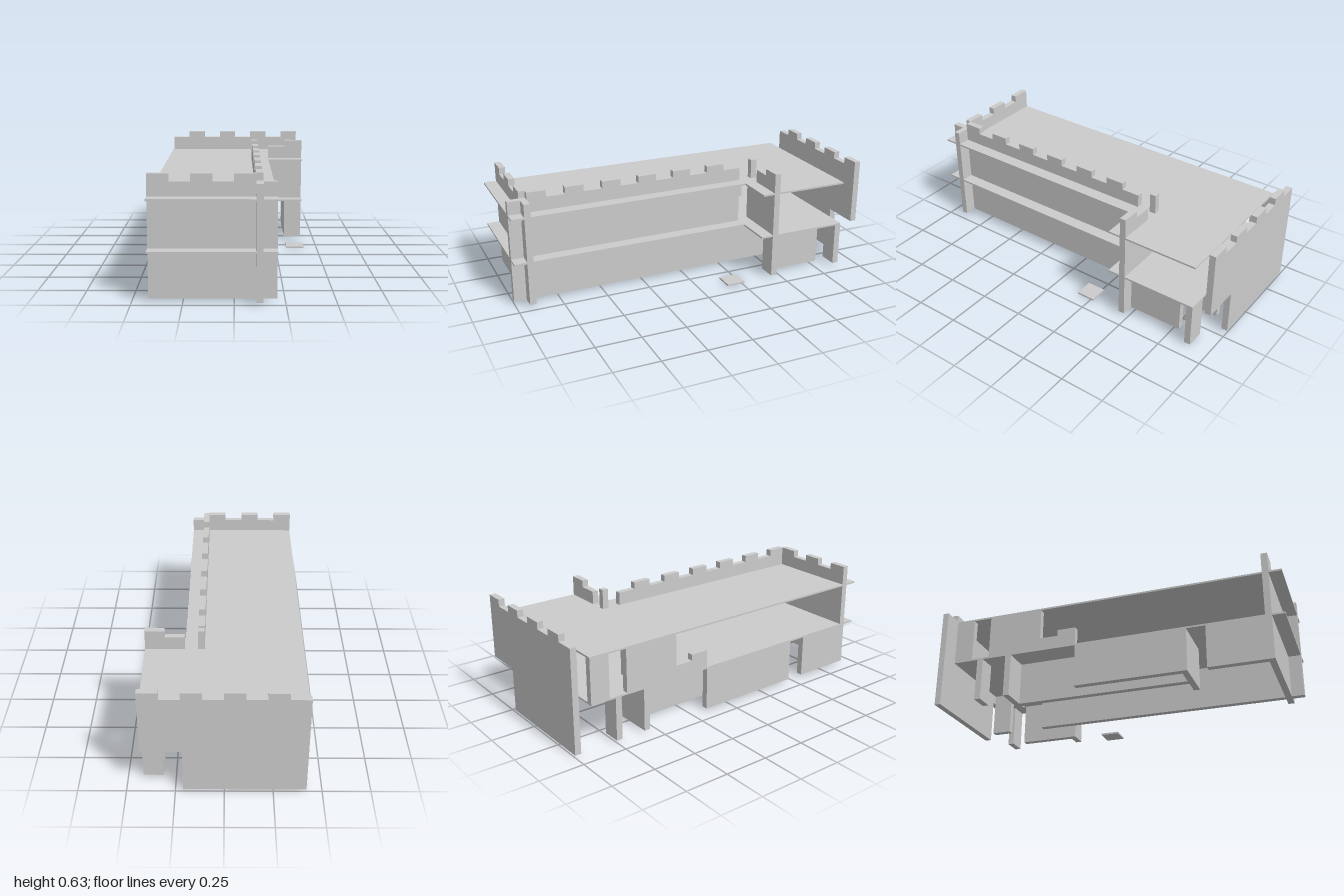
import * as THREE from 'three';

const T = 0.035;                       // panel thickness
const S = 0.105;                       // battlement module
const BASE = 0.013, SHELF = 0.26, LOW = 0.592, HIGH = 0.63;

export function createModel() {
  const model = new THREE.Group();
  const mat = new THREE.MeshStandardMaterial({ color: 0xcccccc, flatShading: true });

  function add(name, geo) {
    const mesh = new THREE.Mesh(geo, mat);
    mesh.name = name;
    model.add(mesh);
    return mesh;
  }
  // Box from its lower and upper corners
  function box(name, x0, x1, y0, y1, z0, z1) {
    const geo = new THREE.BoxGeometry(x1 - x0, y1 - y0, z1 - z0);
    geo.translate((x0 + x1) / 2, (y0 + y1) / 2, (z0 + z1) / 2);
    return add(name, geo);
  }
  // Stepped panel outline from columns of [start, end, bottom, top]
  function outline(cols) {
    const pts = [];
    for (const [a, b, , top] of cols) pts.push(new THREE.Vector2(a, top), new THREE.Vector2(b, top));
    for (const [a, b, bottom] of [...cols].reverse()) pts.push(new THREE.Vector2(b, bottom), new THREE.Vector2(a, bottom));
    return new THREE.Shape(pts.filter((p, i) => i === 0 || !p.equals(pts[i - 1])));
  }
  // Panel running along x, its back at z
  function wallX(name, z, cols) {
    const geo = new THREE.ExtrudeGeometry(outline(cols), { depth: T, bevelEnabled: false });
    geo.translate(0, 0, z);
    return add(name, geo);
  }
  // Panel running along z, its right side at x (columns measured toward -z)
  function wallZ(name, x, cols) {
    const geo = new THREE.ExtrudeGeometry(outline(cols), { depth: T, bevelEnabled: false });
    geo.rotateY(Math.PI / 2);
    geo.translate(x, 0, 0);
    return add(name, geo);
  }
  // Alternating battlement columns
  function battlement(start, count, firstHigh, bottomAt) {
    return Array.from({ length: count }, (_, i) => [
      start + i * S, start + (i + 1) * S, bottomAt(i),
      (i % 2 === 0) === firstHigh ? HIGH : LOW,
    ]);
  }

  // Two L-shaped decks
  const deck = new THREE.Shape();
  [[-0.42, -1], [0.21, -1], [0.21, 0.37], [0.42, 0.37], [0.42, 0.895], [-0.42, 0.895]]
    .forEach(([x, y], i) => (i ? deck.lineTo(x, y) : deck.moveTo(x, y)));
  [['lowerDeck', 0.255], ['upperDeck', 0.509]].forEach(([name, y]) => {
    const geo = new THREE.ExtrudeGeometry(deck, { depth: 0.01, bevelEnabled: false });
    geo.rotateX(-Math.PI / 2);
    geo.translate(0, y, 0);
    add(name, geo);
  });

  // Battlemented outer walls
  wallX('frontWall', 0.895, battlement(-0.42, 6, true, () => BASE));
  wallX('backWall', -1, battlement(-0.42, 8, false, (i) => (i < 6 ? BASE : 0.265)));
  wallZ('sideWall', 0.105, [
    ...battlement(-1, 13, false, () => BASE),
    [0.365, 0.575, BASE, SHELF],
  ]);
  wallZ('sideWallEnd', 0.105, [[0.785, 0.895, BASE, SHELF]]);

  // Gate wall with its doorway, leg and corner post
  wallX('gateWall', -0.475, [
    [0.105, 0.14, SHELF, HIGH],
    [0.14, 0.21, SHELF, 0.51],
    [0.21, 0.315, SHELF, LOW],
    [0.315, 0.42, BASE, HIGH],
  ]);
  wallZ('gateSideWall', 0.315, [[0.475, 0.785, BASE, SHELF]]);
  box('gateRearLeg', 0.315, 0.42, BASE, SHELF, -0.895, -0.86);

  // Open side: parapet on the lower deck, with a doorway at the rear
  wallZ('parapet', -0.42, [
    [0.155, 0.26, SHELF, 0.365],
    [0.26, 0.365, SHELF, 0.33],
    [0.365, 0.68, SHELF, 0.51],
  ]);
  wallZ('parapetEnd', -0.42, [[0.785, 0.895, SHELF, 0.51]]);

  // Supports under the lower deck
  wallZ('openSidePanel', -0.42, [[-0.475, 0.155, BASE, SHELF]]);
  wallZ('openSideFrontPanel', -0.42, [[-0.895, -0.58, BASE, SHELF]]);
  wallZ('innerPanel', -0.28, [[-0.475, 0.54, BASE, SHELF]]);
  box('innerCrossPanel', -0.42, -0.15, BASE, SHELF, 0.44, 0.475);
  box('rearLeg', -0.42, -0.315, BASE, SHELF, -0.75, -0.715);

  // Rear partition through both storeys
  wallX('rearPartition', -0.575, [[-0.42, -0.21, BASE, 0.51]]);

  // Loose foot plate on the ground
  box('footPlate', 0.315, 0.42, 0, 0.01, -0.265, -0.16);

  return model;
}
